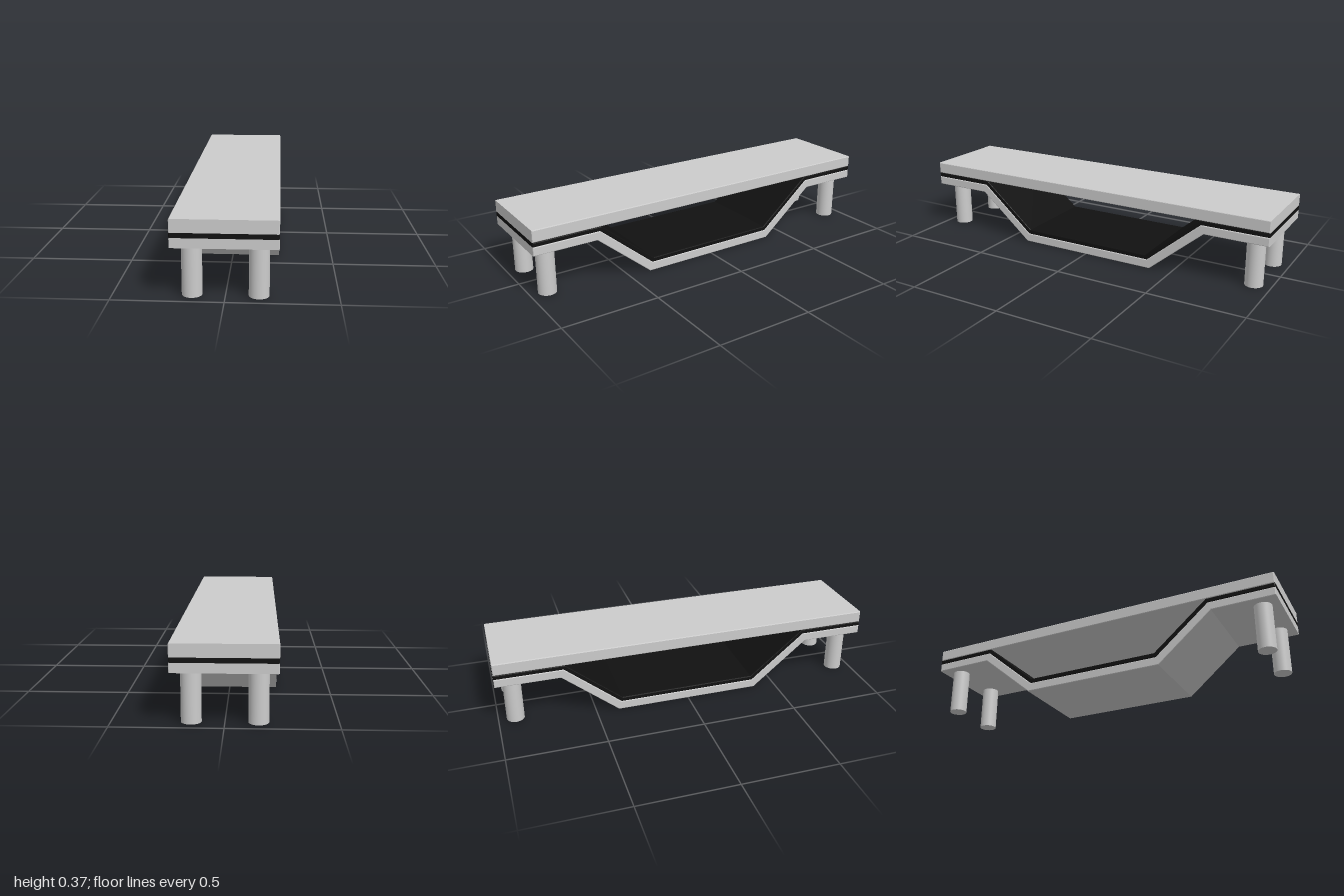
import * as THREE from 'three';

const HALF_WIDTH = 0.235;
const BEVEL = 0.004;

// Extrude a side profile of [z, y] points across the full width, with softened edges
function plate(name, points, material) {
  const shape = new THREE.Shape(points.map(([z, y]) => new THREE.Vector2(z, y)));
  const geometry = new THREE.ExtrudeGeometry(shape, {
    depth: 2 * (HALF_WIDTH - BEVEL),
    bevelEnabled: true,
    bevelThickness: BEVEL,
    bevelSize: BEVEL,
    bevelOffset: -BEVEL,
    bevelSegments: 2,
  });
  geometry.translate(0, 0, -(HALF_WIDTH - BEVEL));
  geometry.rotateY(-Math.PI / 2);
  const mesh = new THREE.Mesh(geometry, material);
  mesh.name = name;
  return mesh;
}

// Closed strip between an upper and a lower half-line, mirrored front to back
function strip(upper, lower) {
  const mirror = (pts) => pts.map(([z, y]) => [-z, y]);
  return [
    ...mirror(lower), ...[...lower].reverse(),
    ...upper, ...mirror(upper).reverse(),
  ];
}

export function createModel() {
  const model = new THREE.Group();
  model.name = 'troughBench';

  const lightGrey = new THREE.MeshStandardMaterial({ color: 0xcccccc });
  lightGrey.name = 'light grey';
  const black = new THREE.MeshStandardMaterial({ color: 0x111111 });
  black.name = 'black';

  // Half-lines from the outer end in to the trough floor
  const linerTop = [[1, 0.31], [0.648, 0.31], [0.36, 0.07]];
  const seam = [[1, 0.287], [0.656, 0.287], [0.368, 0.046]];
  const underside = [[1, 0.242], [0.672, 0.242], [0.382, 0]];

  // Flat top, dark liner and folded lower shell
  model.add(plate('topSlab', [[-1, 0.31], [1, 0.31], [1, 0.371], [-1, 0.371]], lightGrey));
  model.add(plate('liner', strip(linerTop, seam), black));
  model.add(plate('lowerShell', strip(seam, underside), lightGrey));

  // Four round legs
  const legGeometry = new THREE.CylinderGeometry(0.046, 0.046, 0.243, 40);
  for (const x of [-0.148, 0.148]) {
    for (const z of [-0.912, 0.912]) {
      const leg = new THREE.Mesh(legGeometry, lightGrey);
      leg.name = `${z > 0 ? 'front' : 'back'}${x > 0 ? 'Left' : 'Right'}Leg`;
      leg.position.set(x, 0.1215, z);
      model.add(leg);
    }
  }
  return model;
}
